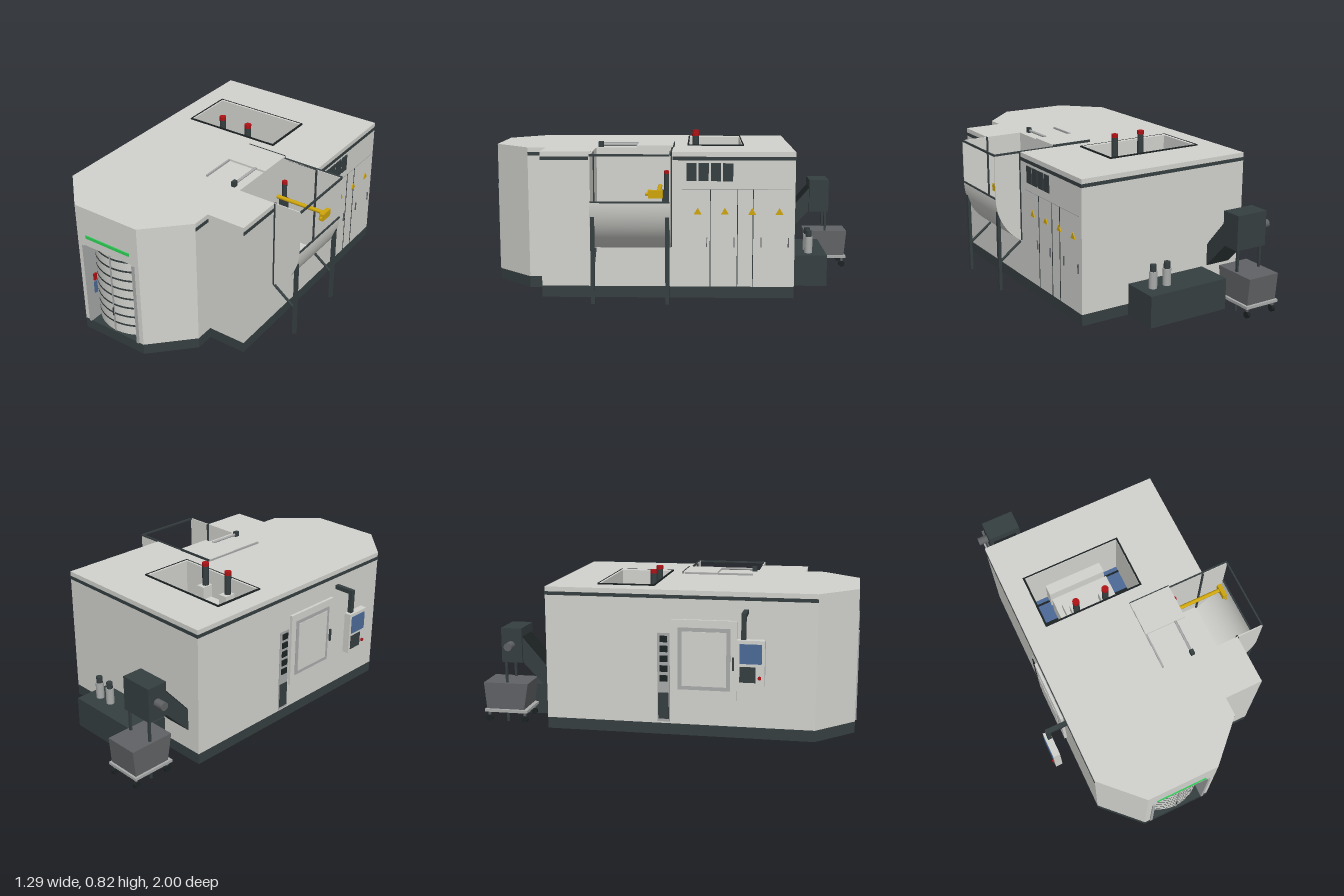
import * as THREE from 'three';

const mat = (name, color, side = THREE.FrontSide) => {
  const m = new THREE.MeshStandardMaterial({ color, side });
  m.name = name;
  return m;
};

export function createModel() {
  const model = new THREE.Group();
  model.name = 'machiningCell';
  const light = mat('light grey', 0xd2d2ce, THREE.DoubleSide);
  const dark = mat('dark slate', 0x363f41);
  const black = mat('near black', 0x1c2223);
  const steel = mat('mid grey', 0x606265);
  const silver = mat('silver', 0xa9abab);
  const red = mat('red', 0xb01216);
  const green = mat('green', 0x2fd058);
  const yellow = mat('yellow', 0xcfa60c);
  const blue = mat('blue', 0x4c6b98);

  const add = (name, geo, m, parent = model) => {
    const mesh = new THREE.Mesh(geo, m);
    mesh.name = name;
    parent.add(mesh);
    return mesh;
  };
  // box given by its limits on each axis
  const box = (name, m, x0, x1, y0, y1, z0, z1) => {
    const b = add(name, new THREE.BoxGeometry(x1 - x0, y1 - y0, z1 - z0), m);
    b.position.set((x0 + x1) / 2, (y0 + y1) / 2, (z0 + z1) / 2);
    return b;
  };
  // round bar between two points
  const rod = (name, m, a, b, r, sides = 16) => {
    const p = new THREE.Vector3(...a), q = new THREE.Vector3(...b);
    const c = add(name, new THREE.CylinderGeometry(r, r, p.distanceTo(q), sides), m);
    c.position.copy(p).add(q).multiplyScalar(0.5);
    c.quaternion.setFromUnitVectors(new THREE.Vector3(0, 1, 0), q.sub(p).normalize());
    return c;
  };
  const poly = (pts) => new THREE.Shape(pts.map(([a, b]) => new THREE.Vector2(a, b)));
  // footprint in x, z raised from y0 to y1
  const slab = (name, m, pts, y0, y1, hole) => {
    const flip = (l) => l.map(([x, z]) => [x, -z]);
    const s = poly(flip(pts));
    if (hole) s.holes.push(poly(flip(hole)));
    const g = new THREE.ExtrudeGeometry(s, { depth: y1 - y0, bevelEnabled: false });
    g.rotateX(-Math.PI / 2).translate(0, y0, 0);
    return add(name, g, m);
  };
  // side profile in z, y drawn out from x0 to x1
  const profile = (name, m, pts, x0, x1) => {
    const g = new THREE.ExtrudeGeometry(poly(pts), { depth: x1 - x0, bevelEnabled: false });
    g.rotateY(-Math.PI / 2).translate(x1, 0, 0);
    return add(name, g, m);
  };
  const beacon = (x, y, z, h, r) => {
    rod('beaconPost', dark, [x, y, z], [x, y + h * 0.85, z], r);
    rod('beaconLamp', red, [x, y + h * 0.85, z], [x, y + h, z], r * 1.05);
  };

  // Housing: base, then slices with the front recess, side notch and roof hatch
  const back = [[-0.51, -0.62], [0.49, -0.62]];
  const notch = [[0.49, 0.02], [0.28, 0.02], [0.28, 0.42], [0.49, 0.42]];
  const step = [[0.49, 0.69], [0.28, 0.69], [0.28, 0.79], [0.08, 0.99]];
  const recess = [[0.045, 0.99], [0.045, 0.9], [-0.27, 0.9], [-0.27, 0.99]];
  const nose = [[-0.31, 0.99], [-0.51, 0.79]];
  const hatch = [[-0.385, -0.36], [0.155, -0.36], [0.155, -0.07], [-0.385, -0.07]];
  slab('base', dark, [...back, ...step, ...nose], 0, 0.06);
  slab('lowerHousing', light, [...back, ...step, ...recess, ...nose], 0.06, 0.27);
  slab('middleHousing', light, [...back, ...notch, ...step, ...recess, ...nose], 0.27, 0.54, hatch);
  slab('upperHousing', light, [...back, ...notch, ...step, ...nose], 0.54, 0.763, hatch);

  // Dark band below the roof
  box('bandLeft', dark, -0.513, -0.51, 0.72, 0.738, -0.62, 0.79);
  box('bandBack', dark, -0.513, 0.493, 0.72, 0.738, -0.623, -0.62);
  box('bandRight', dark, 0.49, 0.493, 0.72, 0.738, -0.62, 0.01);
  box('bandRight', dark, 0.49, 0.493, 0.72, 0.738, 0.43, 0.69);
  box('bandStep', dark, 0.28, 0.283, 0.72, 0.738, 0.69, 0.79);

  // Roof hatch rim and the machine inside
  slab('hatchRim', black, [[-0.395, -0.368], [0.165, -0.368], [0.165, -0.062], [-0.395, -0.062]], 0.763, 0.77, hatch);
  box('machineBed', blue, -0.385, 0.155, 0.27, 0.4, -0.36, -0.07);
  box('machineHead', light, -0.28, 0.05, 0.4, 0.56, -0.27, -0.07);
  box('machineRear', light, -0.28, 0.05, 0.4, 0.56, -0.36, -0.3);
  box('spindleBridge', light, -0.25, 0.02, 0.56, 0.62, -0.2, -0.085);
  for (const z of [-0.33, -0.21, -0.09]) {
    box('guideRail', black, -0.385, -0.28, 0.4, 0.405, z - 0.005, z + 0.005);
    box('guideRail', black, 0.05, 0.155, 0.4, 0.405, z - 0.005, z + 0.005);
  }
  box('redUnit', red, -0.385, -0.36, 0.4, 0.46, -0.235, -0.185);
  for (const x of [-0.2, -0.03]) {
    box('beaconFoot', light, x - 0.025, x + 0.025, 0.62, 0.69, -0.145, -0.08);
    beacon(x, 0.69, -0.105, 0.13, 0.018);
  }

  // Curved front doors with slats
  const arc = (name, m, r, y, h, t0, t1) => {
    const g = new THREE.CylinderGeometry(r, r, h, 24, 1, true, t0, t1 - t0);
    add(name, g, m).position.set(-0.1125, y, 0.75);
  };
  for (const [t0, t1] of [[-0.75, -0.012], [0.012, 0.75]]) {
    arc('frontDoor', light, 0.23, 0.3, 0.48, t0, t1);
    for (let i = 0; i < 8; i++) arc('doorSlat', dark, 0.233, 0.12 + i * 0.0565, 0.011, t0, t1);
  }
  box('doorMullion', silver, -0.117, -0.108, 0.06, 0.54, 0.965, 0.984);
  box('doorHandle', dark, -0.117, -0.112, 0.16, 0.21, 0.984, 0.988);
  for (const x of [-0.28, 0.04]) box('doorJamb', silver, x, x + 0.014, 0.06, 0.54, 0.92, 0.997);
  box('jambSwitch', red, -0.266, -0.258, 0.3, 0.34, 0.935, 0.955);
  box('jambPanel', blue, -0.266, -0.26, 0.22, 0.29, 0.935, 0.955);
  box('statusLight', green, -0.253, 0.025, 0.587, 0.604, 0.988, 0.995);

  // Loading chute on the right side
  const chute = new THREE.CylinderGeometry(0.3, 0.3, 0.4, 24, 1, true, Math.PI / 6, Math.PI / 3);
  chute.rotateX(Math.PI / 2).translate(0.34, 0.525, 0.22);
  add('chuteTrough', chute, light);
  const cheek = new THREE.Shape();
  cheek.moveTo(0.49, 0.27);
  cheek.absarc(0.34, 0.525, 0.3, -Math.PI / 3, 0, false);
  cheek.lineTo(0.64, 0.763);
  cheek.lineTo(0.49, 0.763);
  for (const z of [0.02, 0.42]) {
    const g = new THREE.ExtrudeGeometry(cheek, { depth: 0.006, bevelEnabled: false });
    add('chuteCheek', g, light).position.z = z - 0.003;
    box('chutePost', dark, 0.486, 0.496, 0.27, 0.763, z - 0.008, z + 0.008);
    const lz = z < 0.2 ? 0.032 : 0.41;
    box('chuteLeg', dark, 0.613, 0.63, 0, 0.46, lz - 0.01, lz + 0.01);
    rod('chuteBrace', dark, [0.49, 0.26, lz], [0.62, 0.16, lz], 0.007, 8);
  }
  box('chuteLip', dark, 0.636, 0.643, 0.52, 0.528, 0.02, 0.42);
  box('chuteTopBar', dark, 0.634, 0.642, 0.755, 0.765, 0.02, 0.42);
  box('chuteBackBar', dark, 0.28, 0.64, 0.757, 0.767, 0.012, 0.02);
  // Robot arm in the chute
  box('armStand', dark, 0.295, 0.33, 0.27, 0.54, 0.03, 0.07);
  beacon(0.312, 0.54, 0.045, 0.105, 0.014);
  rod('armBoom', yellow, [0.29, 0.56, 0.08], [0.59, 0.56, 0.08], 0.011);
  box('armWrist', yellow, 0.58, 0.603, 0.54, 0.58, 0.055, 0.13);
  rod('armTip', yellow, [0.592, 0.56, 0.12], [0.592, 0.56, 0.145], 0.007);

  // Sliding cover on the roof
  box('slidingCover', light, 0.06, 0.29, 0.764, 0.775, 0.012, 0.205);
  box('coverEdge', dark, 0.06, 0.29, 0.764, 0.777, 0.007, 0.012);
  box('coverRail', silver, 0.058, 0.067, 0.763, 0.773, 0.02, 0.405);
  rod('coverCylinder', silver, [0.232, 0.775, 0.205], [0.232, 0.775, 0.4], 0.007);
  box('cylinderMount', dark, 0.222, 0.243, 0.763, 0.792, 0.385, 0.412);

  // Cabinet doors, vents and warning signs on the right side
  for (let i = 0; i < 4; i++) {
    const v = -0.0875 - i * 0.0625, z = -0.12 - i * 0.14;
    box('vent', dark, 0.49, 0.495, 0.613, 0.705, v - 0.026, v + 0.026);
    profile('warningSign', yellow, [[z - 0.02, 0.44], [z + 0.02, 0.44], [z, 0.475]], 0.49, 0.495);
    box('cabinetHandle', steel, 0.49, 0.496, 0.27, 0.32, z - 0.05, z - 0.045);
  }
  for (const z of [-0.185, -0.325, -0.405])
    box('cabinetSeam', dark, 0.49, 0.492, 0.06, 0.57, z - 0.002, z + 0.002);
  box('cabinetSeam', silver, 0.49, 0.492, 0.568, 0.572, -0.6, -0.04);

  // Service door and connector strip on the left side
  box('serviceDoor', light, -0.525, -0.51, 0.2, 0.615, 0.05, 0.39);
  box('serviceDoorFrame', silver, -0.528, -0.525, 0.25, 0.575, 0.085, 0.355);
  box('serviceDoorPanel', light, -0.531, -0.528, 0.27, 0.555, 0.105, 0.335);
  box('serviceHandle', dark, -0.535, -0.525, 0.36, 0.43, 0.365, 0.375);
  box('connectorStrip', silver, -0.514, -0.51, 0.07, 0.54, -0.025, 0.04);
  for (let i = 0; i < 5; i++) {
    const y = 0.285 + i * 0.052;
    box('connector', black, -0.52, -0.51, y, y + 0.033, -0.012, 0.028);
  }
  box('connectorPlate', dark, -0.518, -0.51, 0.085, 0.225, -0.02, 0.035);

  // Control panel on its swing arm
  box('panelArm', dark, -0.625, -0.51, 0.652, 0.675, 0.42, 0.444);
  box('panelDrop', dark, -0.625, -0.602, 0.54, 0.675, 0.42, 0.444);
  box('panelCase', light, -0.638, -0.6, 0.308, 0.543, 0.4, 0.54);
  box('panelScreen', blue, -0.641, -0.638, 0.425, 0.525, 0.415, 0.525);
  box('panelKeys', dark, -0.641, -0.638, 0.33, 0.41, 0.415, 0.495);
  rod('panelButton', red, [-0.638, 0.355, 0.515], [-0.646, 0.355, 0.515], 0.009);

  // Coolant tank and pumps at the back
  box('coolantTank', dark, -0.255, 0.215, 0, 0.17, -0.825, -0.62);
  for (const x of [0.055, 0.14]) {
    rod('pumpBody', silver, [x, 0.17, -0.73], [x, 0.26, -0.73], 0.022);
    rod('pumpCap', dark, [x, 0.26, -0.73], [x, 0.295, -0.73], 0.017);
  }

  // Chip conveyor with head and motor
  profile('conveyorRamp', dark, [[-0.62, 0.17], [-0.62, 0.29], [-0.78, 0.475], [-0.78, 0.34]], -0.435, -0.285);
  profile('rampCover', black, [[-0.62, 0.29], [-0.62, 0.296], [-0.78, 0.481], [-0.78, 0.475]], -0.43, -0.29);
  box('conveyorHead', dark, -0.45, -0.265, 0.335, 0.522, -0.888, -0.775);
  rod('conveyorMotor', steel, [-0.505, 0.43, -0.835], [-0.45, 0.43, -0.835], 0.022);
  for (const x of [-0.435, -0.29]) box('conveyorLeg', dark, x, x + 0.012, 0, 0.335, -0.878, -0.866);

  // Chip cart
  profile('cartBin', steel, [[-0.985, 0.072], [-0.775, 0.072], [-0.75, 0.217], [-0.998, 0.217]], -0.45, -0.265);
  box('cartDeck', silver, -0.46, -0.255, 0.055, 0.07, -0.995, -0.755);
  for (const x of [-0.44, -0.275]) for (const z of [-0.975, -0.775]) {
    box('casterFork', steel, x - 0.006, x + 0.006, 0.025, 0.055, z - 0.006, z + 0.006);
    rod('casterWheel', black, [x - 0.008, 0.018, z], [x + 0.008, 0.018, z], 0.018);
  }
  return model;
}
